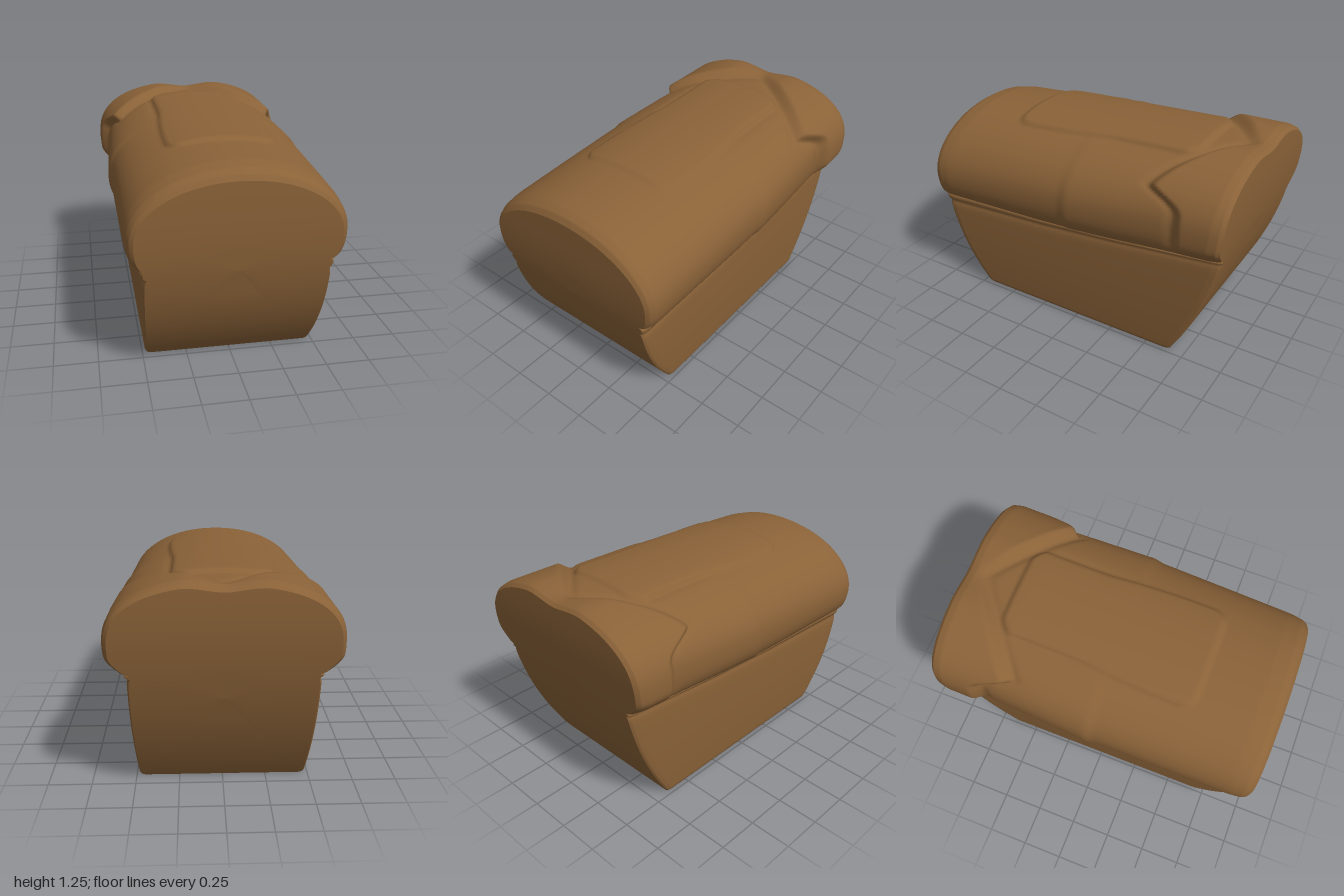
import * as THREE from 'three';

const { lerp, smoothstep, clamp } = THREE.MathUtils;

// Linear lookup in a short table of [key, value] pairs.
function table(pairs, k) {
  for (let i = 1; i < pairs.length; i++) {
    const [a, va] = pairs[i - 1], [b, vb] = pairs[i];
    if (k <= b) return lerp(va, vb, clamp((k - a) / (b - a), 0, 1));
  }
  return pairs[pairs.length - 1][1];
}

// Crust half width and height along the loaf.
const WIDTH = [[-1, 0.555], [-0.98, 0.575], [-0.93, 0.586], [-0.65, 0.585], [-0.04, 0.618], [0.02, 0.605], [0.88, 0.596], [0.95, 0.588], [0.985, 0.573], [1, 0.552]];
const HEIGHT = [[-1, 1.19], [-0.98, 1.208], [-0.94, 1.218], [-0.6, 1.222], [-0.2, 1.21], [0.5, 1.187], [0.85, 1.172], [0.94, 1.155], [0.98, 1.132], [1, 1.1]];
const TAPER = [[-1, 0.975], [-0.985, 0.992], [-0.95, 1], [0.95, 1], [0.985, 0.992], [1, 0.975]];
const SEAM = [[-1, 0.75], [-0.3, 0.69], [0.2, 0.66], [1, 0.635]];

// Sloping, bulging ends.
const frontZ = y => 1 - 0.3 * Math.pow(Math.max(0, 1 - y / 1.1), 3);
const backZ = y => -1 + 0.35 * Math.pow(Math.max(0, 1 - y / 1.2), 2.2);
const endsZ = (y, t) => lerp(backZ(y), frontZ(y), t);

// Distance to a rounded rectangle in the x-z plane.
function roundedRect(x, z, cz, hx, hz, r) {
  const dx = Math.abs(x) - hx + r, dz = Math.abs(z - cz) - hz + r;
  return Math.hypot(Math.max(dx, 0), Math.max(dz, 0)) + Math.min(Math.max(dx, dz), 0) - r;
}

// Raised folds: the V-shaped rear lip and the long flap on top.
function relief(x, y, z) {
  const ax = Math.abs(x);
  const edge = y < 0.92 ? -0.69
    : ax < 0.5 ? -0.88 + 0.76 * ax
      : lerp(-0.5, -0.69, smoothstep(ax, 0.5, 0.575));
  const d = edge - z;
  const spread = lerp(0.25, 1, smoothstep(ax, 0, 0.22));
  let h = 0.045 * spread * smoothstep(d, 0, 0.07);
  h -= 0.01 * Math.exp(-Math.pow((d + 0.01) / 0.03, 2));
  if (y > 0.95) {
    const flap = roundedRect(x, z, -0.08, 0.32 - 0.03 * smoothstep(-z, -0.3, 0.3), 0.61, 0.1);
    h += 0.02 * (1 - smoothstep(flap, -0.03, 0)) * (1 - smoothstep(d, -0.08, 0));
    h -= 0.008 * Math.exp(-Math.pow((ax - 0.29) / 0.025, 2)) * smoothstep(-z, 0, 0.25) * (1 - smoothstep(-z, 0.5, 0.68));
  }
  return h;
}

// Crust section, from the right seam over the top to the left seam.
function crustSection(t) {
  const k = 2 * t - 1, pts = [];
  const w = table(WIDTH, k), top = table(HEIGHT, k), seam = table(SEAM, k);
  const mid = lerp(0.9, 0.78, t), n = lerp(2.5, 2.05, t);
  const inner = 0.505 * table(TAPER, k);
  const curl = 14, arc = 100;
  for (let i = 0; i < curl; i++) {
    const a = (i / curl) * Math.PI / 2;
    pts.push([lerp(inner, w, Math.pow(Math.sin(a), 0.8)), lerp(mid, seam, Math.cos(a))]);
  }
  for (let i = 0; i <= arc; i++) {
    const a = (i / arc) * Math.PI, c = Math.cos(a), s = Math.max(0, Math.sin(a));
    pts.push([w * Math.sign(c) * Math.pow(Math.abs(c), 2 / n), mid + (top - mid) * Math.pow(s, 2 / n)]);
  }
  for (let i = curl - 1; i >= 0; i--) pts.push([-pts[i][0], pts[i][1]]);
  return pts.map(([x, y]) => {
    const h = relief(x, y, endsZ(y, t)) * smoothstep(y, seam, seam + 0.1);
    const r = Math.hypot(x, y - 0.75) || 1;
    return [x + h * x / r, y + h * (y - 0.75) / r];
  });
}

// Body section, from the left seam under the base to the right seam.
function bodySection(t) {
  const k = 2 * t - 1, seam = table(SEAM, k), s = table(TAPER, k);
  const bead = lerp(0.022, 0.058, t), low = seam - bead;
  const half = [[0.505, seam], [0.519, seam - bead * 0.25], [0.522, seam - bead * 0.5], [0.517, seam - bead * 0.78],
    [0.5, low], [0.507, low - 0.015], [0.511, low - 0.04]];
  for (let i = 1; i <= 16; i++) {
    const f = i / 16, y = lerp(low - 0.04, 0.03, f);
    half.push([lerp(0.511, 0.486, f * f), y]);
  }
  half.push([0.484, 0.018], [0.479, 0.008], [0.471, 0.002], [0.46, 0], [0.44, 0], [0.22, 0]);
  const right = half.map(([x, y]) => [x * s, y]);
  return [...right.map(([x, y]) => [-x, y]), [0, 0], ...right.reverse()];
}

// Skin the sections from back to front, closing both ends.
function loft(section) {
  const ROWS = 170, CAP = 16, rings = [];
  const addRing = (t, scale) => rings.push(section(t).map(([x, y]) => {
    const py = lerp(0.6, y, scale);
    return [x * scale, py, endsZ(py, t)];
  }));
  for (let i = 0; i < CAP; i++) addRing(0, Math.sqrt(i / CAP));
  for (let i = 0; i <= ROWS; i++) addRing(0.5 - 0.5 * Math.cos(Math.PI * i / ROWS), 1);
  for (let i = CAP - 1; i >= 0; i--) addRing(1, Math.sqrt(i / CAP));
  const n = rings[0].length, index = [];
  for (let j = 0; j < rings.length - 1; j++) {
    for (let i = 0; i < n - 1; i++) {
      const a = j * n + i, b = a + 1, c = a + n, d = c + 1;
      if (j > 0) index.push(a, b, c);
      if (j < rings.length - 2) index.push(b, d, c);
      if (j === 0) index.push(a, d, c);
      if (j === rings.length - 2) index.push(a, b, d);
    }
  }
  const geometry = new THREE.BufferGeometry();
  geometry.setAttribute('position', new THREE.Float32BufferAttribute(rings.flat(2), 3));
  geometry.setIndex(index);
  geometry.computeVertexNormals();
  return geometry;
}

export function createModel() {
  const group = new THREE.Group();
  group.name = 'breadLoaf';
  const crust = new THREE.MeshStandardMaterial({ color: 0x8a6238 });
  crust.name = 'crustBrown';
  for (const [name, section] of [['loafBody', bodySection], ['domedCrust', crustSection]]) {
    const mesh = new THREE.Mesh(loft(section), crust);
    mesh.name = name;
    group.add(mesh);
  }
  return group;
}
